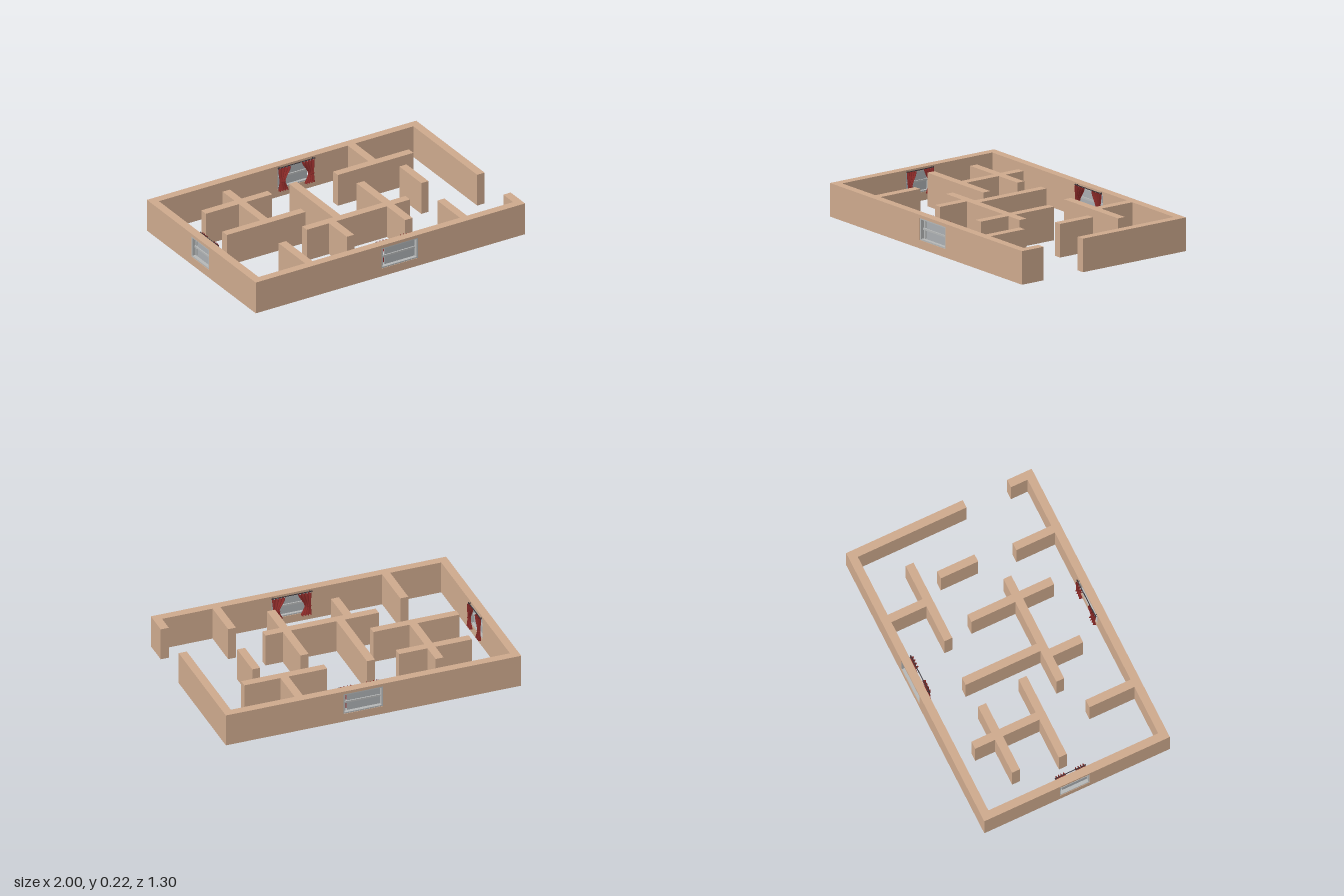
import * as THREE from 'three';
import { ParametricGeometry } from 'three/addons/geometries/ParametricGeometry.js';

const H = 0.22, T = 0.055;          // wall height and thickness
const SILL = 0.055, HEAD = 0.2;     // window opening, bottom and top
const MID = (SILL + HEAD) / 2;

const mat = (color, side = THREE.FrontSide) => {
  const m = new THREE.MeshStandardMaterial({ color });
  m.side = side;
  return m;
};
const wallMat = mat(0xcca88c);
const frameMat = mat(0xb4b6b6);
const glassMat = mat(0xa9adb0);
const rodMat = mat(0x3a3438);
const curtainMat = mat(0x8c2a28, THREE.DoubleSide);

function add(parent, name, geometry, material, x = 0, y = 0, z = 0) {
  const m = new THREE.Mesh(geometry, material);
  m.name = name;
  m.position.set(x, y, z);
  parent.add(m);
  return m;
}

function box(parent, name, material, x0, x1, y0, y1, z0, z1) {
  return add(parent, name, new THREE.BoxGeometry(x1 - x0, y1 - y0, z1 - z0), material,
    (x0 + x1) / 2, (y0 + y1) / 2, (z0 + z1) / 2);
}

// Wall from x0 to x1 with one window opening; outer face at z = 0, facing +z
function windowWall(name, x0, x1, w0, w1) {
  const g = new THREE.Group();
  g.name = name;
  const s = new THREE.Shape([[x0, 0], [x1, 0], [x1, H], [x0, H]].map(p => new THREE.Vector2(...p)));
  s.holes.push(new THREE.Path([[w0, SILL], [w0, HEAD], [w1, HEAD], [w1, SILL]].map(p => new THREE.Vector2(...p))));
  add(g, name + 'Panel', new THREE.ExtrudeGeometry(s, { depth: T, bevelEnabled: false }), wallMat, 0, 0, -T);
  const win = makeWindow();
  win.position.x = (w0 + w1) / 2;
  win.scale.x = (w1 - w0) / 0.27;
  g.add(win);
  return g;
}

// Gathered curtain: wide at the rod, pulled outward at the waist, flared at the hem
function curtainGeometry(side) {
  const lerp = THREE.MathUtils.lerp, smooth = THREE.MathUtils.smoothstep;
  return new ParametricGeometry((u, v, out) => {
    const below = v < 0.4;
    const k = below ? smooth(v, 0, 0.4) : 1 - smooth(v, 0.4, 1);
    const half = lerp(below ? 0.036 : 0.046, 0.022, k);
    const shift = lerp(below ? 0.01 : 0, 0.018, k);
    const fold = Math.cos(u * Math.PI * 8) * lerp(0.01, 0.005, k);
    out.set(side * (0.088 + shift) + (u * 2 - 1) * half, lerp(0.045, 0.208, v), -0.073 + fold);
  }, 32, 14);
}

function makeWindow() {
  const g = new THREE.Group();
  g.name = 'window';
  const W = 0.135, F = 0.009;
  // frame
  for (const s of [-1, 1]) {
    add(g, 'frameJamb', new THREE.BoxGeometry(F, HEAD - SILL, T - 0.006), frameMat, s * (W - F / 2), MID, -T / 2);
    add(g, 'frameRail', new THREE.BoxGeometry(2 * W - 2 * F, F, T - 0.006), frameMat,
      0, MID + s * (HEAD - SILL - F) / 2, -T / 2);
  }
  add(g, 'middleRail', new THREE.BoxGeometry(2 * W - 2 * F, 0.012, 0.022), frameMat, 0, MID, -0.03);
  // panes, with a narrow slit beside the fixed strip
  box(g, 'sideStrip', frameMat, -W + F, -0.109, SILL + F, HEAD - F, -0.034, -0.026);
  box(g, 'upperPane', glassMat, -0.099, W - F, MID + 0.006, HEAD - F, -0.033, -0.027);
  box(g, 'lowerPane', glassMat, -0.099, W - F, SILL + F, MID - 0.006, -0.033, -0.027);
  // curtain rod, end knobs and curtains on the inner side
  add(g, 'curtainRod', new THREE.CylinderGeometry(0.003, 0.003, 0.27, 10), rodMat, 0, 0.209, -0.067)
    .rotation.z = Math.PI / 2;
  for (const s of [-1, 1]) {
    add(g, 'rodKnob', new THREE.SphereGeometry(0.005, 10, 8), rodMat, s * 0.135, 0.209, -0.067);
    add(g, 'rodBracket', new THREE.BoxGeometry(0.004, 0.006, 0.014), rodMat, s * 0.125, 0.209, -0.061);
    add(g, 'curtain', curtainGeometry(s), curtainMat);
    const tie = add(g, 'curtainTie', new THREE.TorusGeometry(0.022, 0.0025, 6, 20), curtainMat, s * 0.106, 0.11, -0.073);
    tie.rotation.x = Math.PI / 2;
    tie.scale.y = 0.4;
  }
  return g;
}

export function createModel() {
  const model = new THREE.Group();
  model.name = 'floorPlan';

  // outer walls with windows
  const front = windowWall('frontWall', -1, 1, -0.065, 0.205);
  front.position.z = 0.65;
  const back = windowWall('backWall', -1, 1, -0.205, 0.065);
  back.rotation.y = Math.PI;
  back.position.z = -0.65;
  const side = windowWall('sideWall', -0.65 + T, 0.65 - T, -0.12, 0.09);
  side.rotation.y = -Math.PI / 2;
  side.position.x = -1;
  model.add(front, back, side);

  // entrance side and partitions: x0, x1, z0, z1
  const walls = {
    entranceWall: [[0.945, 1, -0.595, 0.167], [0.945, 1, 0.478, 0.595]],
    westPartition: [
      [-0.537, -0.483, -0.49, -0.35], [-0.783, -0.29, -0.35, -0.295],
      [-0.537, -0.483, -0.295, -0.04], [-0.82, -0.237, -0.04, 0.015],
    ],
    centrePartition: [
      [-0.125, -0.07, -0.357, 0.167], [-0.355, 0.412, 0.167, 0.222],
      [-0.19, -0.135, 0.222, 0.435], [0.24, 0.295, -0.14, 0.167], [0.24, 0.295, 0.222, 0.44],
    ],
    eastPartition: [[0.458, 0.513, -0.595, -0.35], [0.197, 0.758, -0.35, -0.295]],
    shortPartition: [[0.587, 0.64, -0.187, 0.075]],
    frontPartition: [[-0.6, -0.545, 0.28, 0.595], [0.55, 0.603, 0.325, 0.595]],
  };
  for (const [name, list] of Object.entries(walls)) {
    const g = new THREE.Group();
    g.name = name;
    for (const [x0, x1, z0, z1] of list) box(g, name + 'Segment', wallMat, x0, x1, 0, H, z0, z1);
    model.add(g);
  }
  return model;
}
